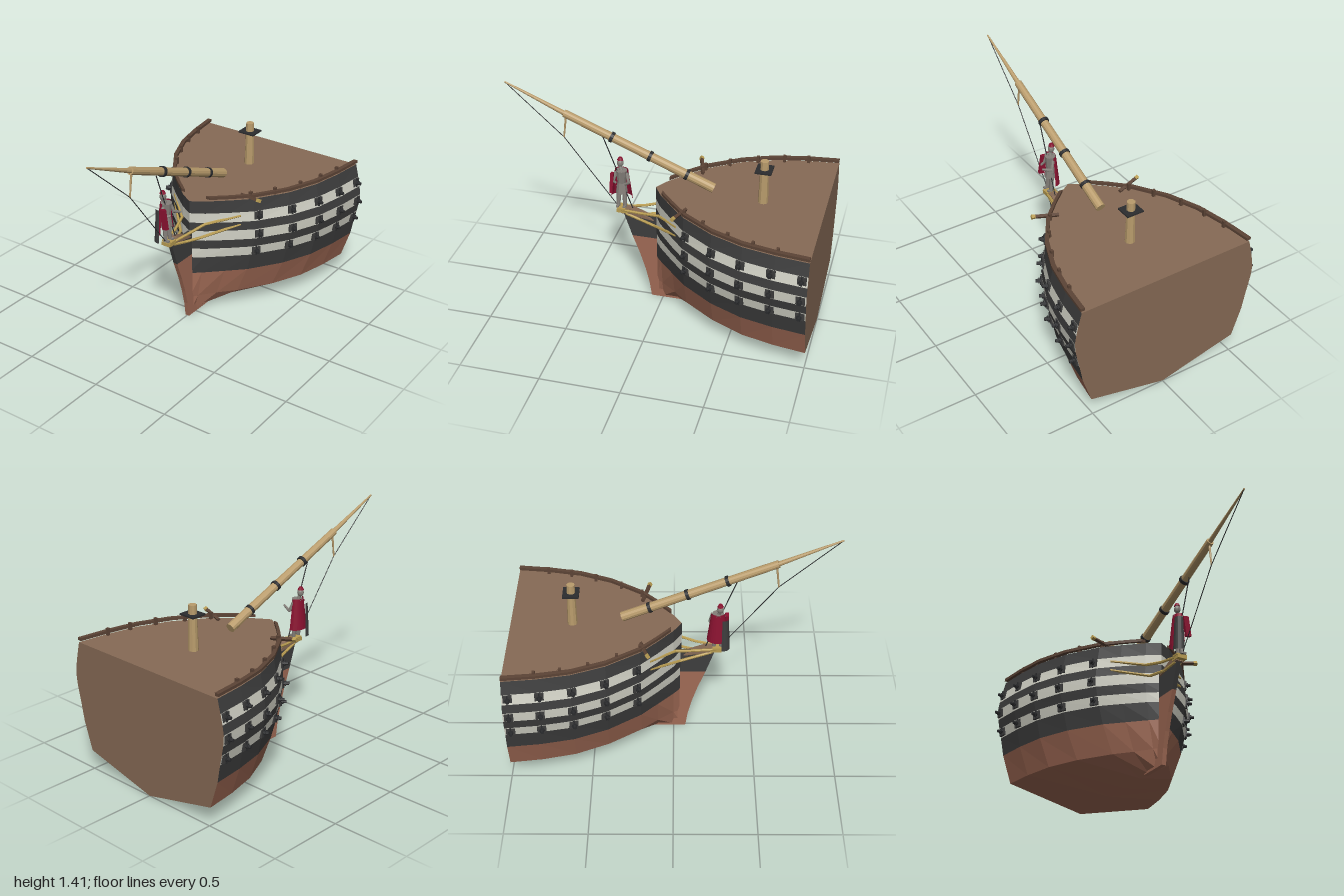
import * as THREE from 'three';

const mat = (name, color, side = THREE.FrontSide) => {
  const m = new THREE.MeshStandardMaterial({ color, side, flatShading: true });
  m.name = name;
  return m;
};
const M = {
  copper: mat('copper', 0xa06a55), dark: mat('dark hull paint', 0x3d3d3d), pale: mat('pale stripe', 0xd2d2c6),
  deck: mat('deck brown', 0x866a55), spar: mat('spar wood', 0xb99c6c), rail: mat('rail wood', 0x5c4436),
  gold: mat('gilding', 0xb89c52), iron: mat('iron', 0x2b2c2e),
  red: mat('red cloth', 0x8a1230, THREE.DoubleSide), stone: mat('figure grey', 0x85807a, THREE.DoubleSide),
};

// Hull lines: half widths by height at the cut end, scaled by station
const LEVELS = [0, 0.12, 0.3, 0.415, 0.478, 0.538, 0.605, 0.662, 0.727, 0.81];
const WIDTHS = [0, 0.51, 0.57, 0.592, 0.606, 0.618, 0.624, 0.615, 0.601, 0.58];
const FULLNESS = [1, 1.45, 1.15, 1.06, 1.03, 1, 1, 1, 1, 1];
const STATIONS = [-1, -0.8, -0.6, -0.4, -0.2, -0.1, 0, 0.05];
const SCALE = [1, 0.96, 0.89, 0.75, 0.52, 0.34, 0.14, 0];
const BANDS = ['copper', 'copper', 'dark', 'pale', 'dark', 'pale', 'dark', 'pale', 'dark'];

function lerpTable(xs, ys, x) {
  let i = 0;
  while (i < xs.length - 2 && x > xs[i + 1]) i++;
  return ys[i] + (ys[i + 1] - ys[i]) * (x - xs[i]) / (xs[i + 1] - xs[i]);
}
const halfWidth = (y, z) =>
  lerpTable(LEVELS, WIDTHS, y) * Math.pow(Math.max(0, lerpTable(STATIONS, SCALE, z)), lerpTable(LEVELS, FULLNESS, y));

function add(parent, name, geo, material, x = 0, y = 0, z = 0) {
  const mesh = new THREE.Mesh(geo, material);
  mesh.name = name;
  mesh.position.set(x, y, z);
  parent.add(mesh);
  return mesh;
}

// Round bar between two points
function rod(parent, name, a, b, r0, r1, material, sides = 8) {
  const A = new THREE.Vector3(...a), B = new THREE.Vector3(...b);
  const d = B.clone().sub(A);
  const mesh = add(parent, name, new THREE.CylinderGeometry(r1, r0, d.length(), sides), material);
  mesh.position.copy(A).addScaledVector(d, 0.5);
  mesh.quaternion.setFromUnitVectors(new THREE.Vector3(0, 1, 0), d.normalize());
  return mesh;
}

// Plate drawn in the z-y plane, centred on x = 0
function sidePlate(parent, name, pts, width, material) {
  const shape = new THREE.Shape(pts.map(p => new THREE.Vector2(...p)));
  const geo = new THREE.ExtrudeGeometry(shape, { depth: width, bevelEnabled: false });
  geo.rotateY(-Math.PI / 2).translate(width / 2, 0, 0);
  return add(parent, name, geo, material);
}

function hullBand(j) {
  const v = [];
  for (const s of [1, -1]) {
    for (let i = 0; i < STATIONS.length - 1; i++) {
      const p = (k, l) => [s * halfWidth(LEVELS[l], STATIONS[k]), LEVELS[l], STATIONS[k]];
      const a = p(i, j), b = p(i, j + 1), c = p(i + 1, j + 1), d = p(i + 1, j);
      const tris = s > 0 ? [a, b, d, b, c, d] : [a, d, b, b, d, c];
      tris.forEach(q => v.push(...q));
    }
  }
  const geo = new THREE.BufferGeometry();
  geo.setAttribute('position', new THREE.Float32BufferAttribute(v, 3));
  geo.computeVertexNormals();
  return geo;
}

function buildHull(g) {
  BANDS.forEach((c, j) => add(g, 'hullBand' + (j + 1), hullBand(j), M[c]));
  const both = (right) => new THREE.Shape([...right, ...right.slice().reverse().map(p => new THREE.Vector2(-p.x, p.y))]);
  const outline = STATIONS.map(z => new THREE.Vector2(halfWidth(0.81, z), -z));
  add(g, 'deck', new THREE.ShapeGeometry(both(outline)).rotateX(-Math.PI / 2), M.deck, 0, 0.81, 0);
  const section = LEVELS.map((y, i) => new THREE.Vector2(WIDTHS[i], y));
  add(g, 'cutBulkhead', new THREE.ShapeGeometry(both(section)).rotateY(Math.PI), M.deck, 0, 0, -1);

  // Stem and beak
  sidePlate(g, 'lowerStem', [[-0.14, 0], [0.075, 0], [0.09, 0.1], [0.115, 0.2], [0.15, 0.31], [0.2, 0.44], [0.03, 0.44], [0.03, 0.15]], 0.028, M.copper);
  sidePlate(g, 'upperStem', [[0.03, 0.44], [0.2, 0.44], [0.255, 0.6], [0.03, 0.6]], 0.028, M.dark);
  sidePlate(g, 'beakPlatform', [[0.06, 0.575], [0.24, 0.6], [0.27, 0.6], [0.25, 0.635], [0.2, 0.635], [0.08, 0.59]], 0.05, M.deck);
  add(g, 'beakBlock', new THREE.BoxGeometry(0.062, 0.022, 0.07), M.gold, 0, 0.618, 0.262);
  add(g, 'beakCap', new THREE.BoxGeometry(0.07, 0.01, 0.05), M.gold, 0, 0.634, 0.265);
}

function buildSide(g, s) {
  // Rail with posts
  const zs = [-1, -0.8, -0.6, -0.4, -0.2, -0.1, -0.015];
  const edge = (inset) => zs.map(z => new THREE.Vector2(s * (halfWidth(0.81, z) + 0.008 - inset), -z));
  const shape = new THREE.Shape([...edge(0), ...edge(0.028).reverse()]);
  const rail = new THREE.ExtrudeGeometry(shape, { depth: 0.018, bevelEnabled: false }).rotateX(-Math.PI / 2);
  add(g, 'rail', rail, M.rail, 0, 0.822, 0);
  for (const z of [-0.2, -0.335, -0.5, -0.66, -0.81])
    add(g, 'railPost', new THREE.BoxGeometry(0.018, 0.046, 0.018), M.rail, s * (halfWidth(0.81, z) - 0.018), 0.833, z);

  // Anchor beam
  rod(g, 'anchorBeam', [s * 0.22, 0.82, -0.195], [s * 0.365, 0.838, -0.155], 0.013, 0.013, M.rail, 4);
  rod(g, 'anchorBeamCap', [s * 0.36, 0.837, -0.156], [s * 0.383, 0.84, -0.15], 0.015, 0.015, M.gold, 4);

  // Curved head rails
  const rails = [
    [[0.02, 0.622, 0.28], [0.05, 0.635, 0.13], [0.085, 0.657, 0.01], [0.25, 0.703, -0.145]],
    [[0.018, 0.6, 0.24], [0.035, 0.578, 0.14], [0.075, 0.574, 0.04], [0.25, 0.643, -0.145]],
  ];
  for (const pts of rails)
    for (let i = 0; i < 3; i++) {
      const [a, b] = [pts[i], pts[i + 1]].map(([x, y, z]) => [s * x, y, z]);
      rod(g, 'headRail', a, b, 0.009, 0.009, M.gold, 6);
    }

  // Three rows of guns, each square to the hull
  for (const y of [0.7, 0.573, 0.447])
    for (const z of [-0.222, -0.407, -0.595, -0.783, -0.965]) {
      const gun = new THREE.Group();
      gun.name = 'gun';
      const slope = (halfWidth(y, z + 0.02) - halfWidth(y, z - 0.02)) / 0.04;
      gun.position.set(s * halfWidth(y, z), y, z);
      gun.rotation.y = Math.atan2(slope, s);
      add(gun, 'port', new THREE.BoxGeometry(0.016, 0.05, 0.054), M.dark);
      rod(gun, 'barrel', [0, 0, 0], [0.04, 0, 0], 0.013, 0.01, M.iron);
      rod(gun, 'barrelRing', [0.016, 0, 0], [0.022, 0, 0], 0.017, 0.017, M.iron);
      add(gun, 'portPin', new THREE.BoxGeometry(0.008, 0.06, 0.008), M.iron, 0.009, 0, 0);
      g.add(gun);
    }
}

function buildSpars(g) {
  const start = [0, 0.858, -0.315], end = [0, 1.245, 0.625];
  const at = (t) => start.map((v, i) => v + (end[i] - v) * t);
  rod(g, 'bowsprit', start, end, 0.03, 0.024, M.spar, 12);
  rod(g, 'jibBoom', at(0.97), [0, 1.41, 0.998], 0.016, 0.005, M.spar, 10);
  for (const t of [0.18, 0.425, 0.68]) rod(g, 'sparBand', at(t - 0.01), at(t + 0.01), 0.033, 0.033, M.iron, 12);
  rod(g, 'strikerSpar', [0, 1.22, 0.615], [0, 1.08, 0.632], 0.007, 0.005, M.spar, 6);
  rod(g, 'outerStay', [0, 1.408, 0.995], [0, 1.08, 0.632], 0.0028, 0.0028, M.iron, 5);
  rod(g, 'lowerStay', [0, 1.08, 0.632], [0, 0.625, 0.285], 0.0028, 0.0028, M.iron, 5);
  rod(g, 'innerStay', [0, 1.115, 0.382], [0, 0.61, 0.19], 0.0035, 0.0035, M.iron, 5);
  // Foremast stump
  rod(g, 'mast', [0, 0.81, -0.62], [0, 1.093, -0.62], 0.031, 0.025, M.spar, 10);
  add(g, 'mastPlate', new THREE.BoxGeometry(0.112, 0.009, 0.1), M.iron, 0, 1.033, -0.62);
}

function buildFigurehead(g) {
  const f = new THREE.Group();
  f.name = 'figurehead';
  f.position.set(-0.012, 0.637, 0.272);
  for (const s of [1, -1]) {
    rod(f, 'leg', [0.01, 0, s * 0.022], [0, 0.14, s * 0.016], 0.012, 0.018, M.stone);
    add(f, 'foot', new THREE.BoxGeometry(0.035, 0.012, 0.018), M.stone, 0.018, 0.006, s * 0.022);
    rod(f, 'upperArm', [0, 0.238, s * 0.034], [0.02, 0.18, s * 0.05], 0.012, 0.01, M.stone);
  }
  rod(f, 'forearm', [0.02, 0.18, 0.05], [0.05, 0.19, 0.025], 0.01, 0.007, M.stone);
  rod(f, 'pointingArm', [0.02, 0.18, -0.05], [0.08, 0.2, -0.035], 0.01, 0.007, M.stone);
  rod(f, 'skirt', [0, 0.1, 0], [0, 0.17, 0], 0.038, 0.028, M.stone, 10);
  rod(f, 'torso', [0, 0.16, 0], [0, 0.255, 0], 0.026, 0.036, M.stone, 10);
  rod(f, 'neck', [-0.004, 0.25, 0.004], [-0.012, 0.28, 0.01], 0.012, 0.01, M.stone);
  add(f, 'head', new THREE.SphereGeometry(0.021, 10, 8), M.stone, -0.015, 0.295, 0.012).scale.y = 1.25;
  rod(f, 'crest', [-0.017, 0.315, 0.012], [-0.018, 0.332, 0.012], 0.02, 0.012, M.red);
  // Cape hangs round the back of the body
  const cape = new THREE.CylinderGeometry(0.042, 0.068, 0.2, 14, 1, true, Math.PI * 0.97, Math.PI * 1.06);
  add(f, 'cape', cape, M.red, -0.002, 0.16, 0).scale.x = 0.75;
  const drape = new THREE.CylinderGeometry(0.03, 0.04, 0.22, 8, 1, true, Math.PI * 1.4, Math.PI * 0.7);
  add(f, 'drape', drape, M.dark, -0.015, 0.115, 0.035);
  add(f, 'capeFold', new THREE.BoxGeometry(0.035, 0.13, 0.02), M.red, 0.025, 0.17, 0.055).rotation.z = 0.15;
  g.add(f);
}

export function createModel() {
  const g = new THREE.Group();
  g.name = 'shipBow';
  buildHull(g);
  for (const s of [1, -1]) buildSide(g, s);
  buildSpars(g);
  buildFigurehead(g);
  return g;
}
